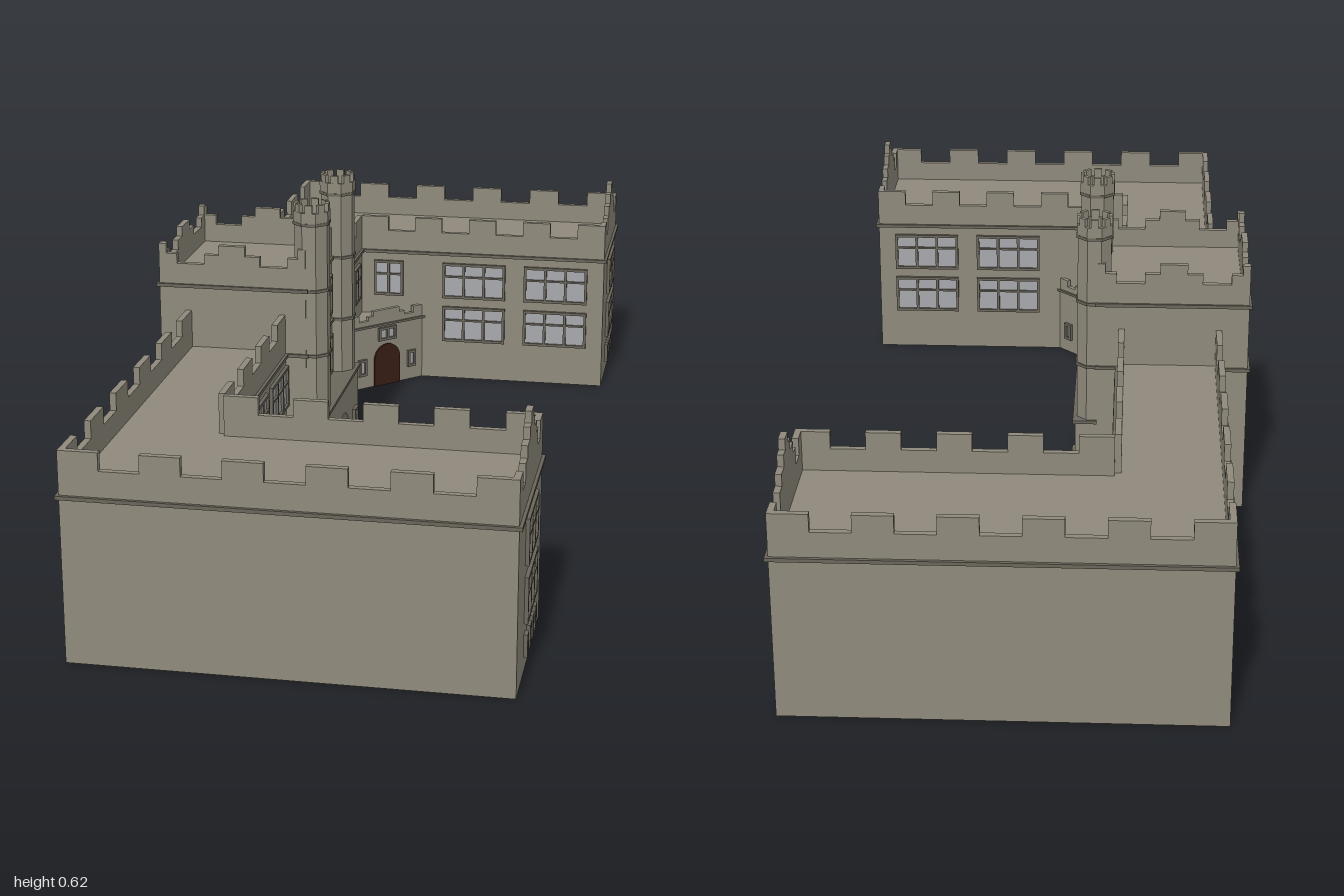
import * as THREE from 'three';

const mat = (color) => new THREE.MeshStandardMaterial({ color, flatShading: true });

export function createModel() {
  const root = new THREE.Group();
  const stone = mat(0x8f8a7c), trim = mat(0x6b665b), glass = mat(0xa6a9ac), wood = mat(0x3a1d16);

  const add = (parent, name, geo, material = stone) => {
    const m = new THREE.Mesh(geo, material);
    m.name = name;
    parent.add(m);
    return m;
  };
  const polygon = (pts) => new THREE.Shape(pts.map(([x, y]) => new THREE.Vector2(x, y)));
  const extrude = (shape, depth) =>
    new THREE.ExtrudeGeometry(shape, { depth, bevelEnabled: false, curveSegments: 16 });

  // Horizontal slab from an [x, z] footprint
  const slab = (name, pts, y0, y1, material = stone) => {
    const geo = extrude(polygon(pts.map(([x, z]) => [x, -z])), y1 - y0);
    geo.rotateX(-Math.PI / 2).translate(0, y0, 0);
    return add(root, name, geo, material);
  };
  const rect = (x0, x1, z0, z1) => [[x0, z0], [x1, z0], [x1, z1], [x0, z1]];

  // Vertical working plane: local x runs along the wall, local z points outward
  const face = (name, x, z, nx, nz) => {
    const g = new THREE.Group();
    g.name = name;
    g.position.set(x, 0, z);
    g.rotation.y = Math.atan2(nx, nz);
    root.add(g);
    return g;
  };

  // Parapet wall: steps are [length, top height] from one end to the other
  const parapet = (f, base, steps, thick = 0.012) => {
    let u = -steps.reduce((sum, s) => sum + s[0], 0) / 2;
    const pts = [[u, base]];
    for (const [len, top] of steps) {
      pts.push([u, top], [u + len, top]);
      u += len;
    }
    pts.push([u, base]);
    add(f, 'parapet', extrude(polygon(pts), thick).translate(0, 0, -thick));
  };
  const battlements = (length, count, low = 0.355, high = 0.388) =>
    Array.from({ length: count }, (_, i) => [length / count, i % 2 ? low : high]);
  const mirrorSteps = (half, mid) => [...half, mid, ...half.slice().reverse()];

  // Mullioned window: frame with a lower and an upper light in each bay
  const windowAt = (f, u, y0, w, h, bays, rows = 2) => {
    const frame = polygon([[-w / 2, 0], [w / 2, 0], [w / 2, h], [-w / 2, h]]);
    const b = 0.006, split = h * 0.62;
    const spans = rows === 2 ? [[b, split - b / 3], [split + b / 3, h - b]] : [[b, h - b]];
    const pitch = (w - b) / bays;
    for (let i = 0; i < bays; i++) {
      const l = -w / 2 + b + i * pitch, r = l + pitch - b;
      for (const [lo, hi] of spans) {
        frame.holes.push(new THREE.Path([[l, lo], [r, lo], [r, hi], [l, hi]].map((p) => new THREE.Vector2(...p))));
      }
    }
    add(f, 'windowFrame', extrude(frame, 0.007).translate(u, y0, 0), trim);
    add(f, 'windowGlass', new THREE.PlaneGeometry(w - b, h - b).translate(u, y0 + h / 2, 0.002), glass);
  };

  // Main dimensions
  const back = -0.36, inner = -0.155, front = 0.417, wingIn = 0.66, end = 0.994, gateZ = 0.165;

  for (const s of [1, -1]) {
    // L-shaped range with its string course
    const plan = (e, z0) => [
      [back - e, z0], [inner + e, z0], [inner + e, wingIn - e], [front + e, wingIn - e],
      [front + e, end + e], [back - e, end + e]].map(([x, z]) => [x, z * s]);
    slab('rangeAndWing', plan(0, 0.15), 0, 0.312);
    slab('stringCourse', plan(0.006, 0.15), 0.301, 0.308, trim);

    // Plain outer walls
    const side = face('wingOuterWall', (back + front) / 2, end * s, 0, s);
    parapet(side, 0.305, battlements(front - back, 11));
    const rear = face('rearWall', back, s * (gateZ + end) / 2, -1, 0);
    parapet(rear, 0.305, battlements(end - gateZ, 11));

    // Gabled wing end
    const gable = face('wingEnd', front, s * (wingIn + end) / 2, 1, 0);
    parapet(gable, 0.305, mirrorSteps(
      [[0.042, 0.388], [0.035, 0.355], [0.025, 0.388], [0.03, 0.41], [0.02, 0.432]], [0.03, 0.453]));
    windowAt(gable, 0, 0.198, 0.14, 0.085, 3);
    windowAt(gable, 0, 0.092, 0.14, 0.085, 3);
    for (const u of [-0.06, -0.02, 0.02, 0.06]) windowAt(gable, u, 0.03, 0.02, 0.042, 1, 1);

    // Wing wall facing the courtyard
    const mid = (inner + front) / 2;
    const court = face('wingCourtWall', mid, s * wingIn, 0, -s);
    parapet(court, 0.305, battlements(front - inner, 9));
    for (const x of [0.113, 0.305]) {
      for (const y of [0.198, 0.092]) windowAt(court, -s * (x - mid), y, 0.148, 0.085, 3);
    }
    windowAt(court, -s * (-0.09 - mid), 0.198, 0.07, 0.085, 2);

    // Range wall facing the courtyard
    const zc = (gateZ + wingIn) / 2;
    const range = face('rangeCourtWall', inner, s * zc, 1, 0);
    parapet(range, 0.305, battlements(wingIn - gateZ, 7));
    for (const z of [0.413, 0.24]) {
      for (const y of [0.198, 0.092]) windowAt(range, -s * (z - zc), y, 0.145, 0.085, 3);
    }
    windowAt(range, -s * (0.582 - zc), 0.198, 0.07, 0.085, 2);

    // Diagonal corner porch
    const tri = (e) => [[inner, 0.515 - e], [inner, wingIn], [-0.01 + e, wingIn]].map(([x, z]) => [x, z * s]);
    slab('cornerPorch', tri(0), 0, 0.152);
    slab('porchString', tri(0.007), 0.146, 0.151, trim);
    const porch = face('porchFront', (inner - 0.01) / 2, s * (0.515 + wingIn) / 2, 1, -s);
    parapet(porch, 0.14, mirrorSteps([[0.025, 0.178], [0.025, 0.163], [0.015, 0.172]], [0.074, 0.184]), 0.01);
    const arch = new THREE.Shape();
    arch.moveTo(-0.036, 0).lineTo(0.036, 0).lineTo(0.036, 0.064);
    arch.absarc(0, 0.064, 0.036, 0, Math.PI);
    add(porch, 'door', extrude(arch, 0.004), wood);
    windowAt(porch, 0, 0.11, 0.05, 0.032, 2, 1);
    for (const u of [-0.07, 0.07]) windowAt(porch, u, 0.032, 0.022, 0.04, 1, 1);
  }

  // Gatehouse blocks pierced by the archway, cut in the plane of the front
  const gateBack = -0.413, gateWall = -0.113, gateFront = -0.07;
  const gateBlock = (name, x0, x1, h) => {
    const g = polygon([[-gateZ, 0], [-gateZ, h], [gateZ, h], [gateZ, 0], [0.066, 0], [0.066, 0.06]]);
    g.absarc(0, 0.06, 0.066, 0, Math.PI);
    g.lineTo(-0.066, 0);
    add(root, name, extrude(g, x1 - x0).rotateY(Math.PI / 2).translate(x0, 0, 0));
  };
  gateBlock('gatehouse', gateBack, gateWall, 0.447);
  gateBlock('gatePorch', gateWall, gateFront, 0.186);
  slab('gatePorchString', rect(gateWall, gateFront + 0.005, -gateZ - 0.004, gateZ + 0.004), 0.181, 0.188, trim);
  for (const y of [0.301, 0.436]) {
    slab('gatehouseString', rect(gateBack - 0.005, gateWall + 0.005, -gateZ - 0.005, gateZ + 0.005), y, y + 0.007, trim);
  }

  // Stepped gatehouse parapets on all four sides
  const crest = (length) => {
    const k = length / 0.3;
    return mirrorSteps([[0.015, 0.525], [0.022, 0.505], [0.056, 0.485], [0.03, 0.505]]
      .map(([l, h]) => [l * k, h]), [0.054 * k, 0.525]);
  };
  const gateMid = (gateBack + gateWall) / 2;
  for (const s of [1, -1]) {
    parapet(face('gatehouseSide', gateMid, s * gateZ, 0, s), 0.44, crest(gateWall - gateBack));
  }
  parapet(face('gatehouseBack', gateBack, 0, -1, 0), 0.44, crest(2 * gateZ));
  const gate = face('gatehouseFront', gateWall, 0, 1, 0);
  parapet(gate, 0.44, mirrorSteps([[0.03, 0.505], [0.04, 0.485], [0.015, 0.505]], [0.036, 0.525]));
  const porchFace = face('gatePorchFront', gateFront, 0, 1, 0);
  for (const u of [-1, 1]) {
    for (const y of [0.195, 0.325]) windowAt(gate, u * 0.045, y, 0.062, 0.085, 2);
    windowAt(porchFace, u * 0.117, 0.033, 0.034, 0.07, 1, 1);
  }

  // Octagonal stair turrets with hollow battlemented crowns
  const oct = (r) => Array.from({ length: 8 }, (_, i) => {
    const a = (i + 0.5) * Math.PI / 4;
    return new THREE.Vector2(r * Math.cos(a), r * Math.sin(a));
  });
  for (const s of [1, -1]) {
    const t = new THREE.Group();
    t.name = 'turret';
    t.position.set(-0.106, 0, s * 0.13);
    root.add(t);
    const prism = (name, r, y0, y1, material, hole) => {
      const shape = new THREE.Shape(oct(r));
      if (hole) shape.holes.push(new THREE.Path(oct(hole)));
      add(t, name, extrude(shape, y1 - y0).rotateX(-Math.PI / 2).translate(0, y0, 0), material);
    };
    prism('turretShaft', 0.036, 0.18, 0.578, stone);
    for (const y of [0.301, 0.436, 0.572]) prism('turretBand', 0.039, y, y + 0.006, trim);
    prism('turretCrown', 0.038, 0.578, 0.599, stone, 0.029);
    for (let i = 0; i < 8; i++) {
      const merlon = add(t, 'turretMerlon', new THREE.BoxGeometry(0.008, 0.018, 0.015).translate(0.031, 0.606, 0));
      merlon.rotation.y = i * Math.PI / 4;
    }
  }
  return root;
}
